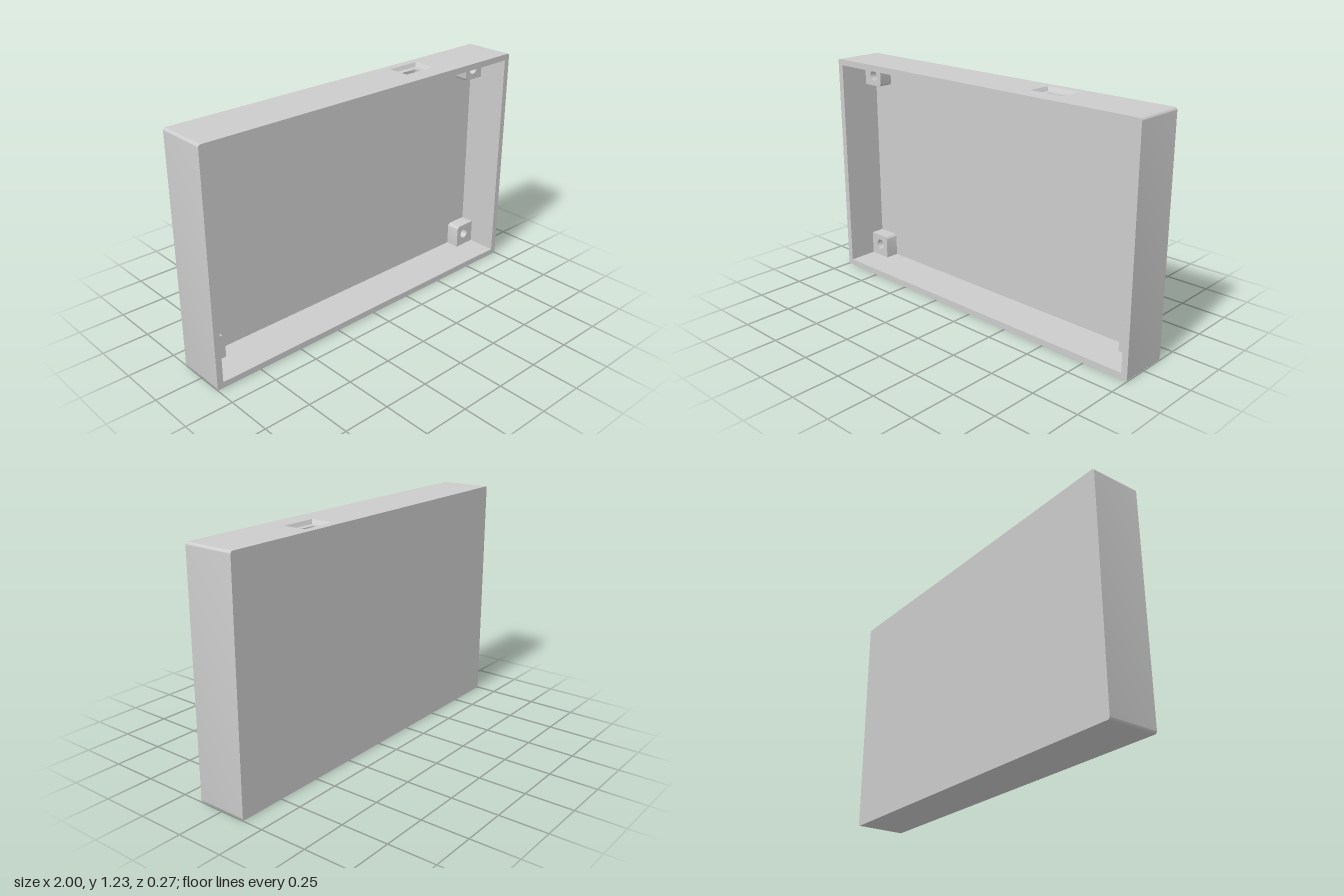
import * as THREE from 'three';
import { toCreasedNormals } from 'three/addons/utils/BufferGeometryUtils.js';

const H = 1.23, D = 0.135, WALL = 0.033;      // height, half depth, wall thickness
const IX = 1 - WALL, IY0 = WALL, IY1 = H - WALL, FLOOR = -D + WALL;
const material = new THREE.MeshStandardMaterial({ color: 0xcccccc });

// Strip of quads between two point rows of equal length
function band(a, b, closed) {
  const pos = [];
  const n = a.length;
  for (let i = 0; i < (closed ? n : n - 1); i++) {
    const j = (i + 1) % n;
    for (const p of [a[i], a[j], b[j], a[i], b[j], b[i]]) pos.push(p.x, p.y, p.z);
  }
  const g = new THREE.BufferGeometry();
  g.setAttribute('position', new THREE.Float32BufferAttribute(pos, 3));
  return toCreasedNormals(g, 0.7);
}

// Flat face from 2D outline points with holes
function face(outline, holes = []) {
  const s = new THREE.Shape(outline);
  s.holes = holes.map((h) => new THREE.Path(h));
  return new THREE.ShapeGeometry(s);
}

const atZ = (pts, z) => pts.map((p) => new THREE.Vector3(p.x, p.y, z));
const atY = (pts, y) => pts.map((p) => new THREE.Vector3(p.x, y, -p.y));
const flipY = (pts) => pts.map((p) => new THREE.Vector2(p.x, -p.y));

// Counter-clockwise arc points
function arc(cx, cy, r, a0, a1, n) {
  return Array.from({ length: n + 1 }, (_, i) => {
    const a = a0 + ((a1 - a0) * i) / n;
    return new THREE.Vector2(cx + r * Math.cos(a), cy + r * Math.sin(a));
  });
}

// Rectangle, counter-clockwise from its top left, with optional rounding
function rect(x0, y0, x1, y1, r = 0) {
  const q = Math.PI / 2;
  if (!r) return [[x0, y1], [x0, y0], [x1, y0], [x1, y1]].map((p) => new THREE.Vector2(...p));
  return [
    ...arc(x0 + r, y1 - r, r, q, 2 * q, 6),
    ...arc(x0 + r, y0 + r, r, 2 * q, 3 * q, 6),
    ...arc(x1 - r, y0 + r, r, 3 * q, 4 * q, 6),
    ...arc(x1 - r, y1 - r, r, 0, q, 6),
  ];
}

export function createModel() {
  const model = new THREE.Group();
  const add = (parent, name, geometry) => {
    const m = new THREE.Mesh(geometry, material);
    m.name = name;
    parent.add(m);
  };
  const group = (name) => {
    const g = new THREE.Group();
    g.name = name;
    model.add(g);
    return g;
  };

  // Open tray; its top wall is made apart, around the port
  const R = 0.012;
  const outer = rect(-1, 0, 1, H, R);
  const inner = rect(-IX, IY0, IX, IY1);
  const shell = group('shell');
  add(shell, 'outerSides', band(atZ(outer, -D), atZ(outer, D)));
  add(shell, 'innerSides', band(atZ(inner, D), atZ(inner, FLOOR)));
  add(shell, 'frontRim', face(outer, [inner]).translate(0, 0, D));
  add(shell, 'innerFloor', face(inner).translate(0, 0, FLOOR));
  add(shell, 'backPanel', face(outer.map((p) => new THREE.Vector2(-p.x, p.y))).rotateY(Math.PI).translate(0, 0, -D));

  // Tapered recess with a slot through the top wall (2D y is -z here)
  const PX = 0.409, PZ = 0.03, recessY = H - 0.02;
  const mouth = rect(PX - 0.096, PZ - 0.062, PX + 0.096, PZ + 0.062);
  const bottom = rect(PX - 0.084, PZ - 0.051, PX + 0.084, PZ + 0.051);
  const slot = rect(PX - 0.058, PZ - 0.019, PX + 0.058, PZ + 0.019, 0.0185);
  add(shell, 'topOutside', face(rect(-1 + R, -D, 1 - R, D), [mouth]).rotateX(-Math.PI / 2).translate(0, H, 0));
  add(shell, 'topInside', face(rect(-IX, FLOOR, IX, D), [flipY(slot)]).rotateX(Math.PI / 2).translate(0, IY1, 0));
  const port = group('port');
  add(port, 'recessSides', band(atY(mouth, H), atY(bottom, recessY), true));
  add(port, 'recessFloor', face(bottom, [slot]).rotateX(-Math.PI / 2).translate(0, recessY, 0));
  add(port, 'slotSides', band(atY(slot, recessY), atY(slot, IY1), true));

  // Corner screw posts, each with one rounded corner
  const POST = 0.128, postZ = FLOOR + 0.076, cy = H / 2, iy = IY1 - cy;
  for (const sx of [-1, 1]) for (const sy of [-1, 1]) {
    const post = group('screwPost');
    const place = (p) => new THREE.Vector2(sx * p.x, cy + sy * p.y);
    const x = IX - POST, y = iy - POST, r = 0.02;
    const sides = [
      new THREE.Vector2(x, iy),
      ...arc(x + r, y + r, r, Math.PI, 1.5 * Math.PI, 6),
      new THREE.Vector2(IX, y),
    ].map(place);
    if (sx * sy < 0) sides.reverse();
    const c = place(new THREE.Vector2(0.897, 0.512));
    const hole = arc(c.x, c.y, 0.028, 0, 2 * Math.PI, 32).slice(0, -1);
    const corner = place(new THREE.Vector2(IX, iy));
    add(post, 'postSides', band(atZ(sides, FLOOR), atZ(sides, postZ)));
    add(post, 'postFace', face([...sides, corner], [hole]).translate(0, 0, postZ));
    add(post, 'screwHole', band(atZ(hole, postZ), atZ(hole, FLOOR), true));
  }
  return model;
}
